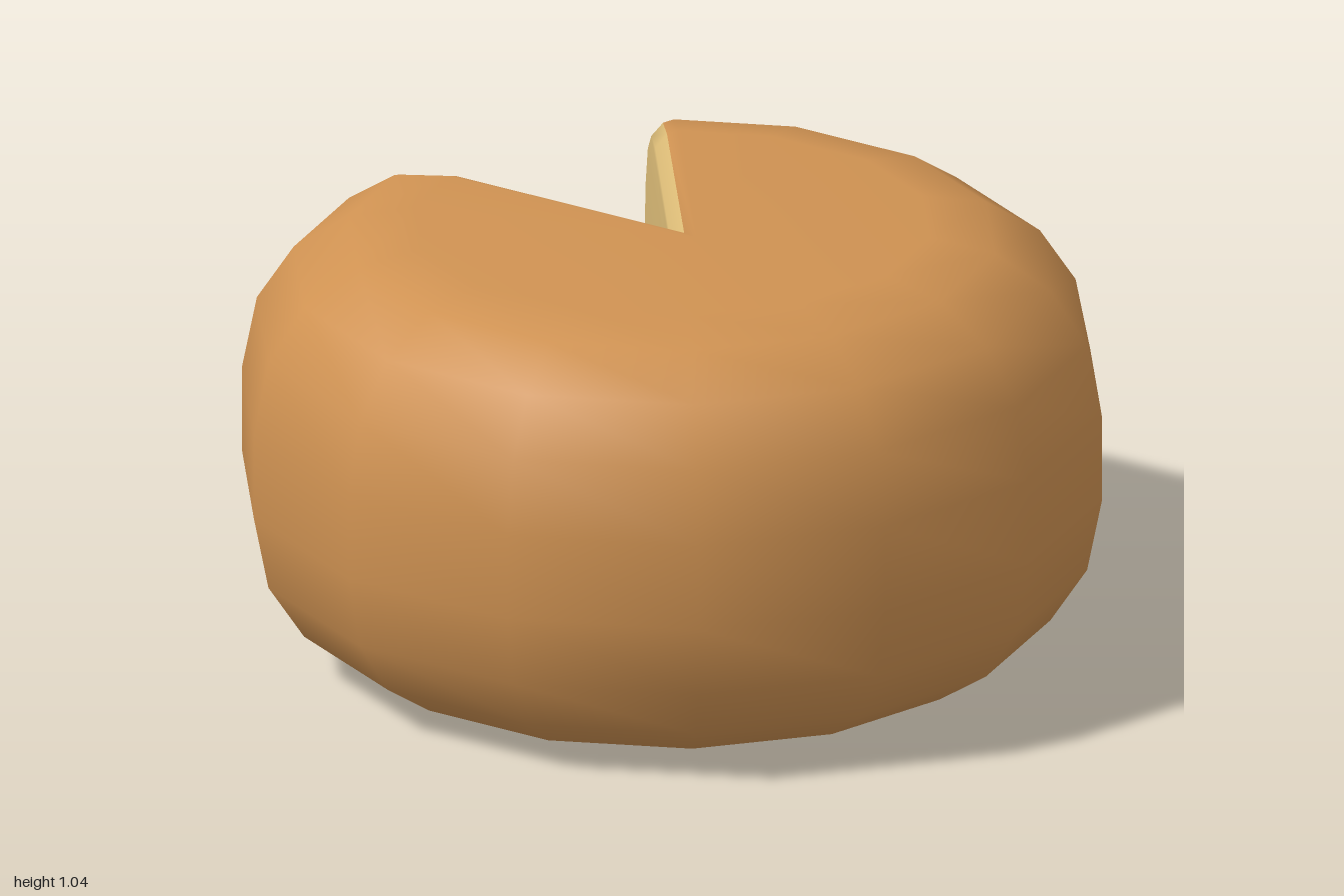
import * as THREE from 'three';
import { mergeVertices } from 'three/addons/utils/BufferGeometryUtils.js';

const HEIGHT = 1.045, MID = HEIGHT / 2, CENTRE_Z = -0.045;
const STEP = Math.PI * 2 / 14;              // fourteen-sided wheel, two sides cut away
const START = -Math.PI / 3;
const END = START + 12 * STEP;

// Rounded rim, from top to bottom: radius, height
const upper = [[0.605, 1.045], [0.757, 1.015], [0.887, 0.93], [0.973, 0.8], [1.008, 0.625]];
const rim = [...upper, ...upper.map(([r, y]) => [r, HEIGHT - y]).reverse()];

// Cross-section in a vertical plane. offset moves the plane into the notch.
function section(angle, { side = 0, offset = 0, insetR = 0, insetY = 0, inner }) {
  const dx = Math.cos(angle), dz = Math.sin(angle);
  const nx = side * dz, nz = -side * dx;
  const shrink = 1 - insetY / MID;
  const place = (r, y) => new THREE.Vector3(
    dx * r + nx * offset, MID + (y - MID) * shrink, CENTRE_Z + dz * r + nz * offset);
  const tip = y => {
    const bisector = START - STEP, d = inner / Math.sin(STEP);
    return new THREE.Vector3(Math.cos(bisector) * d, MID + (y - MID) * shrink,
      CENTRE_Z + Math.sin(bisector) * d);
  };
  return [tip(HEIGHT), ...rim.map(([r, y]) => place(r - insetR, y)), tip(0)];
}

// Smooth skin through a row of sections, leaving out collapsed triangles
function loft(sections) {
  const n = sections[0].length, index = [];
  const points = sections.flat();
  const add = (a, b, c) => {
    const [p, q, r] = [points[a], points[b], points[c]];
    if (p.distanceTo(q) > 1e-5 && q.distanceTo(r) > 1e-5 && r.distanceTo(p) > 1e-5) index.push(a, b, c);
  };
  for (let i = 0; i < sections.length - 1; i++) {
    for (let j = 0; j < n - 1; j++) {
      const a = i * n + j, b = a + n;
      add(a, b, a + 1);
      add(b, b + 1, a + 1);
    }
  }
  let geometry = new THREE.BufferGeometry().setFromPoints(points);
  geometry.setIndex(index);
  geometry = mergeVertices(geometry, 1e-4);
  geometry.computeVertexNormals();
  return geometry;
}

export function createModel() {
  const group = new THREE.Group();
  group.name = 'cheeseWheel';
  const rindMaterial = new THREE.MeshStandardMaterial({ color: 0xcf9252 });
  rindMaterial.name = 'rind';
  const pasteMaterial = new THREE.MeshStandardMaterial({ color: 0xdaba76 });
  pasteMaterial.name = 'paste';
  const add = (name, geometry, material) => {
    const mesh = new THREE.Mesh(geometry, material);
    mesh.name = name;
    group.add(mesh);
  };

  // Steps of the rounded edge beside each cut
  const shoulder = { offset: -0.05, insetR: 0.01, inner: -0.05 };
  const lip = { offset: -0.025, insetR: 0.014, insetY: 0.007, inner: -0.025 };
  const cut = { offset: 0.004, insetR: 0.045, insetY: 0.028, inner: 0.006 };

  // Rind around the wheel, turning in at both cuts
  const sections = [section(START, { ...lip, side: 1 }), section(START, { ...shoulder, side: 1 })];
  for (let k = 1; k < 12; k++) sections.push(section(START + k * STEP, { inner: -0.05 }));
  sections.push(section(END, { ...shoulder, side: -1 }), section(END, { ...lip, side: -1 }));
  add('rind', loft(sections), rindMaterial);

  // Cut faces with their rounded edges
  for (const [name, angle, side] of [['leftCutFace', START, 1], ['rightCutFace', END, -1]]) {
    const face = section(angle, { ...cut, side });
    const innerLine = face.map(p => new THREE.Vector3(face[0].x, p.y, face[0].z));
    const strip = [innerLine, face, section(angle, { ...lip, side })];
    add(name, loft(side > 0 ? strip : strip.reverse()), pasteMaterial);
  }
  return group;
}
